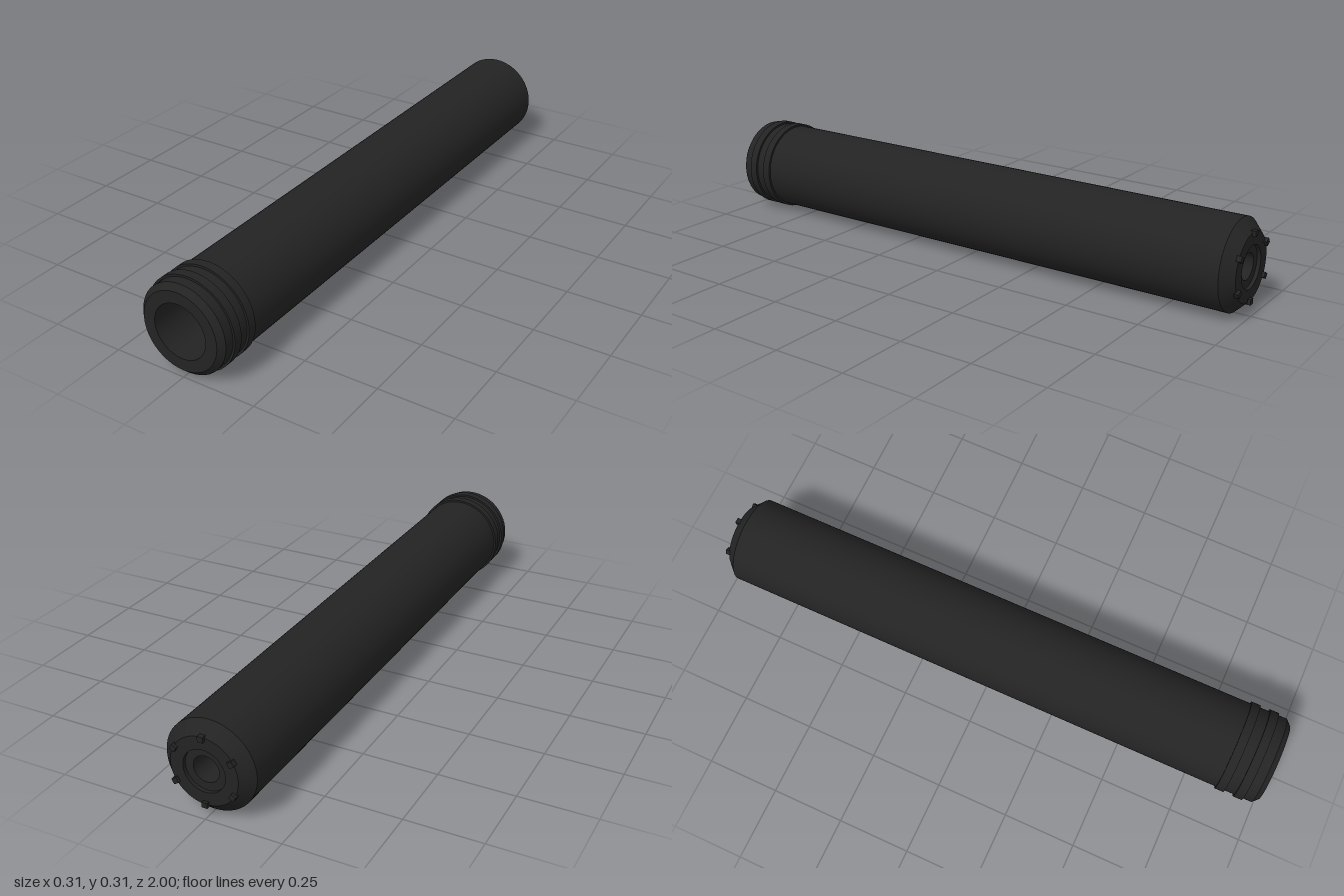
import * as THREE from 'three';
import { mergeGeometries } from 'three/addons/utils/BufferGeometryUtils.js';

const SIDES = 64;
const AXIS_Y = 0.157;

// Revolve a closed [radius, z] profile about z, keeping every profile corner sharp.
function turned(profile) {
  const bands = profile.map((p, i) => {
    const q = profile[(i + 1) % profile.length];
    return new THREE.LatheGeometry([new THREE.Vector2(...p), new THREE.Vector2(...q)], SIDES);
  });
  return mergeGeometries(bands).rotateX(Math.PI / 2);
}

export function createModel() {
  const model = new THREE.Group();
  model.name = 'hollowTube';
  const black = new THREE.MeshStandardMaterial({ color: 0x232323 });
  black.name = 'matte black';

  const add = (name, geometry) => {
    const mesh = new THREE.Mesh(geometry, black);
    mesh.name = name;
    mesh.position.y = AXIS_Y;
    model.add(mesh);
    return mesh;
  };

  // Outer wall, chamfered front, wide front socket, narrow through bore, recessed back
  add('tubeBody', turned([
    [0.112, -0.99], [0.15, -0.952], [0.15, 0.982], [0.132, 1],
    [0.092, 1], [0.092, 0.81], [0.043, 0.81], [0.043, -0.978],
    [0.07, -0.978], [0.07, -0.99],
  ]));

  // Two raised grip rings near the front
  for (const z of [0.935, 0.87]) {
    add('gripRing', turned([
      [0.149, z - 0.015], [0.157, z - 0.015], [0.157, z + 0.015], [0.149, z + 0.015],
    ]));
  }

  // Six small teeth around the back face
  for (let i = 0; i < 6; i++) {
    const a = Math.PI / 2 + i * Math.PI / 3;
    const tooth = add('backTooth', new THREE.BoxGeometry(0.018, 0.018, 0.022));
    tooth.position.set(Math.cos(a) * 0.109, AXIS_Y + Math.sin(a) * 0.109, -0.989);
    tooth.rotation.z = a;
  }

  return model;
}
